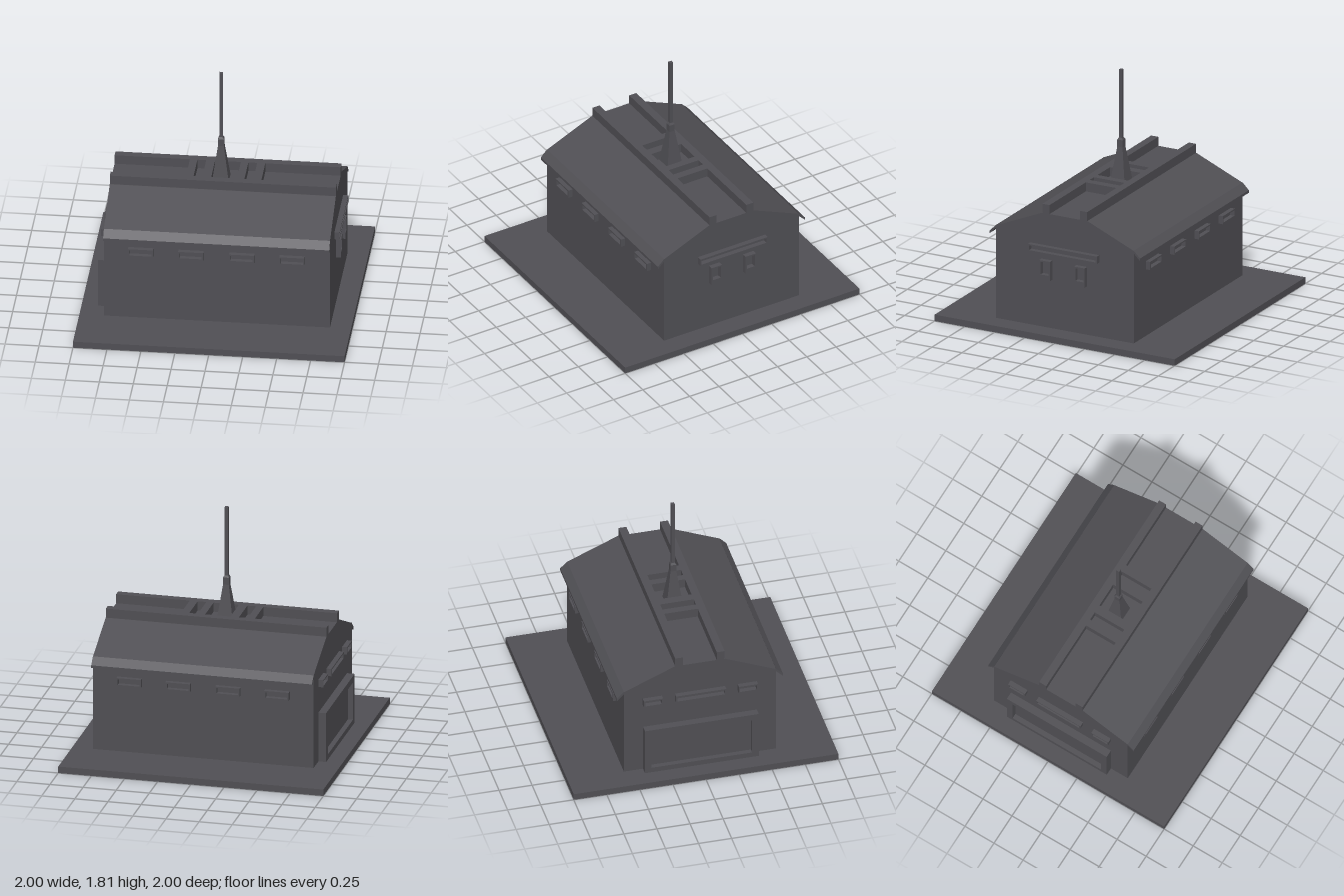
import * as THREE from 'three';

export function createModel() {
  const model = new THREE.Group();
  model.name = 'building';
  const grey = new THREE.MeshStandardMaterial({ color: 0x504f54, flatShading: true });
  grey.name = 'dark grey';

  const add = (name, geo, x = 0, y = 0, z = 0) => {
    const m = new THREE.Mesh(geo, grey);
    m.name = name;
    m.position.set(x, y, z);
    model.add(m);
    return m;
  };
  // box from its extents
  const box = (name, x0, x1, y0, y1, z0, z1) =>
    add(name, new THREE.BoxGeometry(x1 - x0, y1 - y0, z1 - z0),
      (x0 + x1) / 2, (y0 + y1) / 2, (z0 + z1) / 2);
  // profile of [z, y] points swept along the length of the hall
  const X0 = -0.82, X1 = 0.845;
  const sweep = (name, pts) => {
    const shape = new THREE.Shape(pts.map(([z, y]) => new THREE.Vector2(-z, y)));
    const geo = new THREE.ExtrudeGeometry(shape, { depth: X1 - X0, bevelEnabled: false });
    geo.rotateY(Math.PI / 2);
    return add(name, geo, X0);
  };
  // open rectangular frame standing out from a wall; turn is its rotation about y
  const frame = (name, w, h, depth, t, x, y, z, turn, sill = t) => {
    const rect = (P, l, r, b, u) => new P().moveTo(l, b).lineTo(r, b).lineTo(r, u).lineTo(l, u).closePath();
    const shape = rect(THREE.Shape, -w / 2, w / 2, -h / 2, h / 2);
    shape.holes.push(rect(THREE.Path, -w / 2 + t, w / 2 - t, -h / 2 + sill, h / 2 - t));
    const geo = new THREE.ExtrudeGeometry(shape, { depth, bevelEnabled: false });
    add(name, geo, x, y, z).rotation.y = turn;
  };

  // ground slab and hall with pitched roof
  box('groundSlab', -1, 1, 0, 0.05, -1, 1);
  const W = 0.575;
  sweep('hall', [[W, 0.05], [W, 0.77], [0.19, 0.935], [-0.19, 0.935], [-W, 0.77], [-W, 0.05]]);
  for (const s of [1, -1]) {
    sweep('eave', [[s * W, 0.772], [s * 0.627, 0.72], [s * 0.627, 0.7], [s * W, 0.75]]);
  }

  // roof ridge: two rails joined by cross beams
  box('ridgeRail', X0, X1, 0.93, 1.005, 0.127, 0.187);
  box('ridgeRail', X0, X1, 0.93, 1.005, -0.187, -0.127);
  for (const [a, b] of [[-0.265, -0.21], [-0.145, -0.08], [0.11, 0.165], [0.23, 0.29]]) {
    box('ridgeBeam', a, b, 0.93, 1.005, -0.127, 0.127);
  }

  // square spire and mast
  const taper = (name, top, bottom, y0, y1) => {
    const geo = new THREE.CylinderGeometry(top * Math.SQRT2, bottom * Math.SQRT2, y1 - y0, 4);
    geo.rotateY(Math.PI / 4);
    add(name, geo, -0.02, (y0 + y1) / 2, 0);
  };
  taper('spireBase', 0.022, 0.062, 0.93, 1.21);
  taper('spireCollar', 0.022, 0.022, 1.21, 1.265);
  taper('spireCap', 0.014, 0.022, 1.265, 1.28);
  taper('mast', 0.013, 0.013, 1.28, 1.81);

  // long-side windows
  for (const x of [-0.5475, -0.1775, 0.1975, 0.5675]) {
    frame('sideWindow', 0.185, 0.063, 0.035, 0.011, x, 0.6, W, 0);
    frame('sideWindow', 0.185, 0.063, 0.035, 0.011, x, 0.6, -W, Math.PI);
  }

  // left gable: long slot window over two upright windows
  frame('gableSlot', 0.575, 0.057, 0.038, 0.01, X1, 0.659, 0, Math.PI / 2);
  for (const z of [0.148, -0.142]) {
    frame('gableWindow', 0.09, 0.15, 0.038, 0.011, X1, 0.503, z, Math.PI / 2, 0.04);
  }

  // right gable: three slot windows over a wide door
  for (const [z, w] of [[-0.36, 0.145], [0, 0.38], [0.357, 0.145]]) {
    frame('gableSlot', w, 0.057, 0.038, 0.01, X0, 0.659, z, -Math.PI / 2);
  }
  frame('doorFrame', 0.86, 0.38, 0.058, 0.05, X0, 0.24, 0, -Math.PI / 2, 0.04);
  box('doorPanel', X0 - 0.02, X0, 0.07, 0.4, -0.39, 0.39);
  return model;
}
